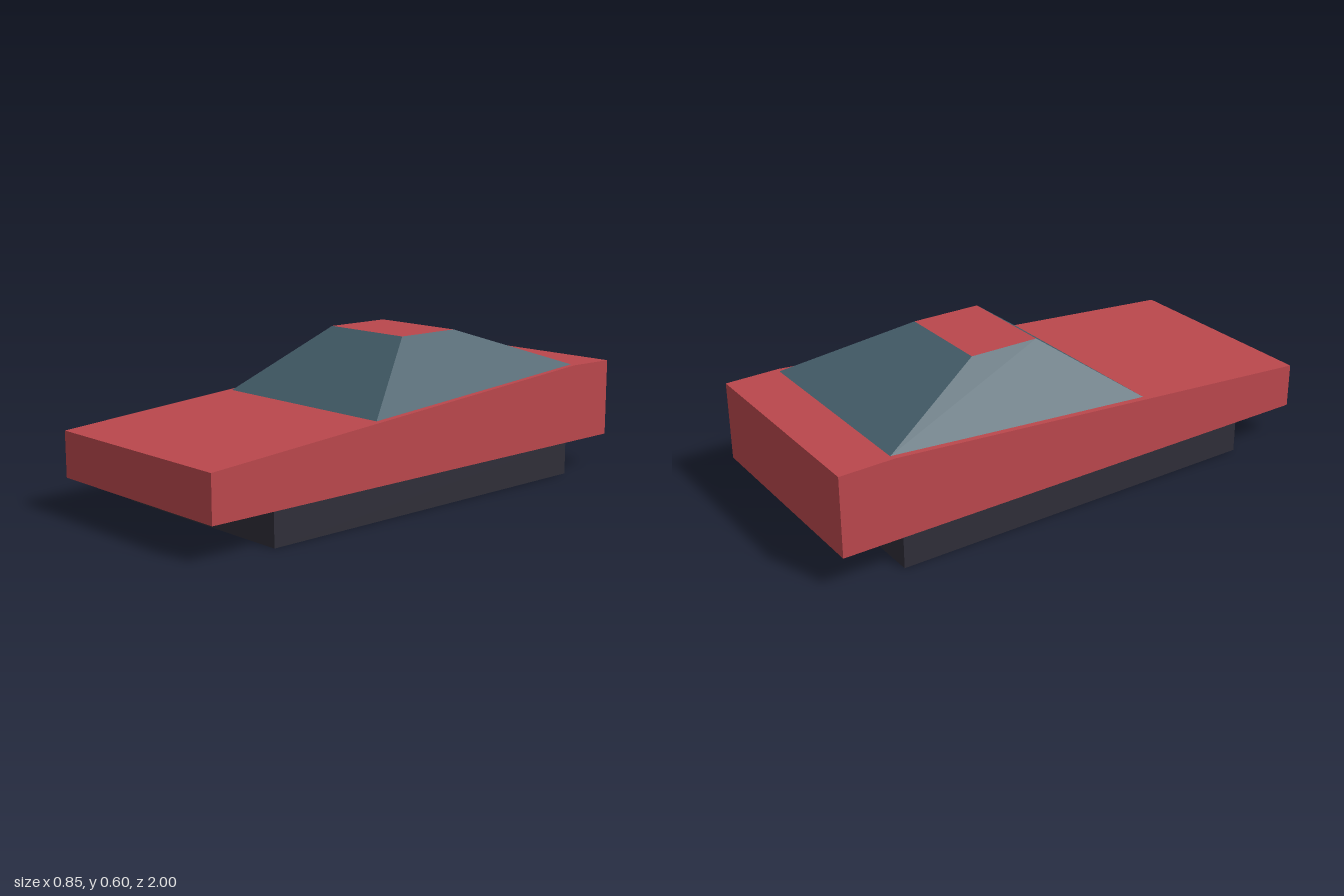
import * as THREE from 'three';

const material = (name, color) =>
  Object.assign(new THREE.MeshStandardMaterial({ color, side: THREE.DoubleSide }), { name });

// Flat-faced surface from polygons whose corners run anticlockwise seen from outside
function surface(name, faces, mat) {
  const points = [];
  for (const f of faces) {
    for (let i = 1; i < f.length - 1; i++) points.push(...f[0], ...f[i], ...f[i + 1]);
  }
  const geometry = new THREE.BufferGeometry();
  geometry.setAttribute('position', new THREE.Float32BufferAttribute(points, 3));
  geometry.computeVertexNormals();
  const mesh = new THREE.Mesh(geometry, mat);
  mesh.name = name;
  return mesh;
}

// Symmetric ring: [z, y] stations run front to back on the left, then back on the right
const ring = (halfWidth, stations) => [
  ...stations.map(([z, y]) => [halfWidth, y, z]),
  ...[...stations].reverse().map(([z, y]) => [-halfWidth, y, z]),
];

// Quads joining a lower ring to an upper one
const walls = (lower, upper) => lower.map((p, i) => {
  const j = (i + 1) % lower.length;
  return [p, lower[j], upper[j], upper[i]];
});

export function createModel() {
  const red = material('red paint', 0xba474c);
  const glass = material('blue grey glass', 0x435c68);
  const dark = material('dark rubber', 0x2f2e38);
  const group = new THREE.Group();
  group.name = 'car';

  // Wedge body, open underneath
  const bottom = ring(0.426, [[1, 0.13], [-0.79, 0.13], [-1, 0.13]]);
  const top = ring(0.426, [[1, 0.302], [-0.79, 0.436], [-1, 0.433]]);
  const hood = [top[0], top[1], top[4], top[5]];
  const rearDeck = [top[1], top[2], top[3], top[4]];
  group.add(surface('body', [...walls(bottom, top), hood, rearDeck], red));

  // Sloping windows and roof
  const sill = ring(0.404, [[0.267, 0.358], [-0.797, 0.436]]);
  const roof = ring(0.193, [[-0.065, 0.598], [-0.34, 0.598]]);
  group.add(surface('windows', walls(sill, roof), glass));
  group.add(surface('roof', [roof], red));

  // Wheel skirt, an open band below the body
  const skirt = (y) => ring(0.412, [[0.737, y], [-0.765, y]]);
  group.add(surface('wheelSkirt', walls(skirt(0), skirt(0.13)), dark));

  return group;
}
